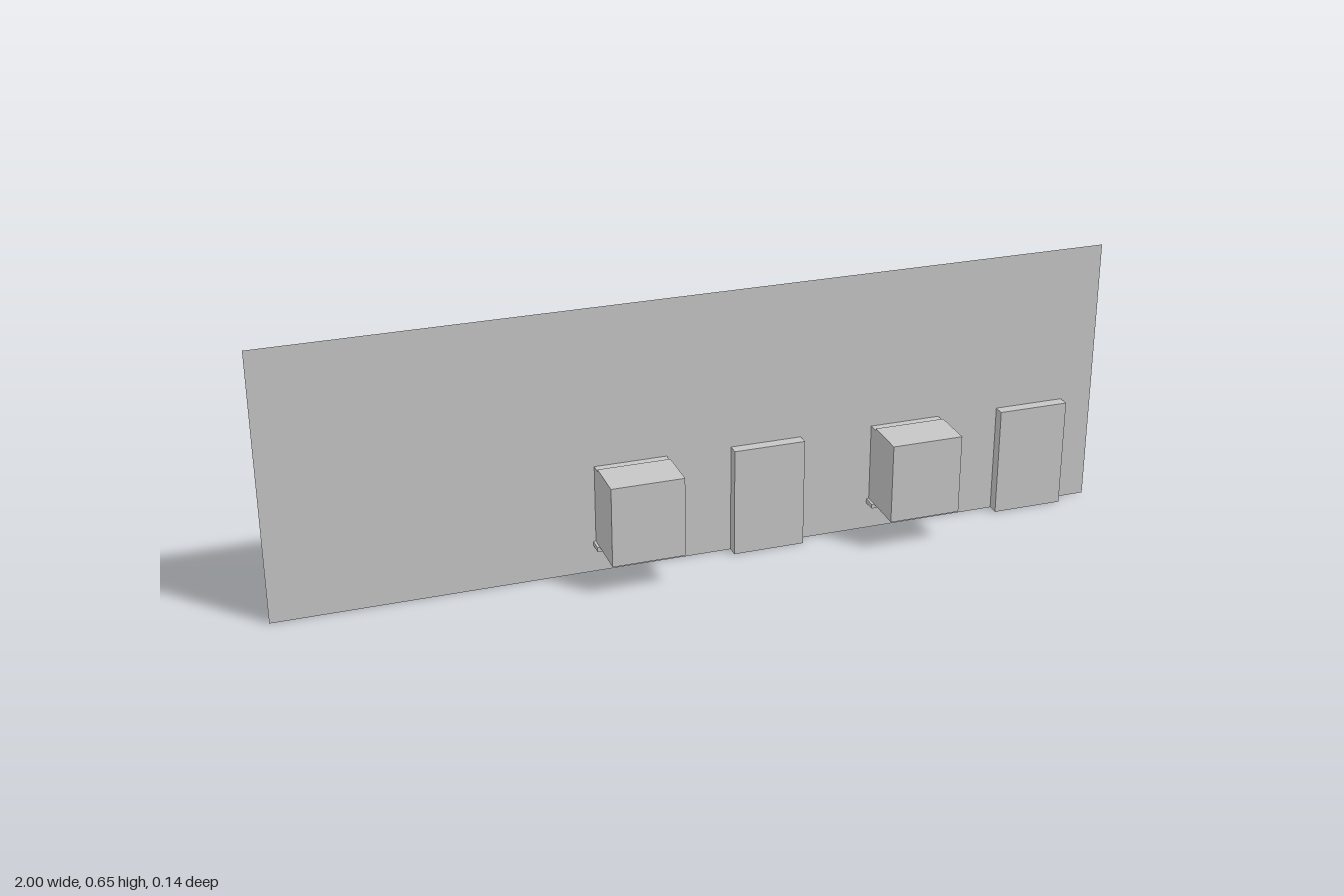
import * as THREE from 'three';

const WALL_Z = -0.063, INNER_Z = -0.036, HALF = 0.086;
const DOORS = [0.163, 0.836], WINDOWS = [-0.164, 0.512];
const DOOR_TOP = 0.265, WIN_LOW = 0.077, WIN_TOP = 0.271;

const grey = new THREE.MeshStandardMaterial({ color: 0xc6c6c6, side: THREE.DoubleSide });
grey.name = 'light grey';

function add(parent, name, geometry) {
  const mesh = new THREE.Mesh(geometry, grey);
  mesh.name = name;
  parent.add(mesh);
  return mesh;
}

// Box given by its lower and upper corners
function block(parent, name, x0, x1, y0, y1, z0, z1) {
  const mesh = add(parent, name, new THREE.BoxGeometry(x1 - x0, y1 - y0, z1 - z0));
  mesh.position.set((x0 + x1) / 2, (y0 + y1) / 2, (z0 + z1) / 2);
  return mesh;
}

// Thin lining on the sides and top of an opening
function lining(parent, y0, y1) {
  const t = 0.001;
  for (const s of [-1, 1]) {
    const x = s * (HALF - t / 2);
    block(parent, 'sideReveal', x - t / 2, x + t / 2, y0, y1, WALL_Z, INNER_Z);
  }
  block(parent, 'topReveal', -HALF, HALF, y1 - t, y1, WALL_Z, INNER_Z);
}

// Rectangular frame of four bars
function frame(parent, name, x0, x1, y0, y1, bar, z0, z1) {
  block(parent, name, x0, x0 + bar, y0, y1, z0, z1);
  block(parent, name, x1 - bar, x1, y0, y1, z0, z1);
  block(parent, name, x0 + bar, x1 - bar, y1 - bar, y1, z0, z1);
  block(parent, name, x0 + bar, x1 - bar, y0, y0 + bar, z0, z1);
}

function makeDoor(x) {
  const g = new THREE.Group();
  g.name = 'door';
  g.position.x = x;
  lining(g, 0, DOOR_TOP);
  block(g, 'threshold', -HALF, HALF, 0, 0.003, WALL_Z, INNER_Z);
  block(g, 'doorBacking', -HALF, HALF, 0, DOOR_TOP - 0.003, INNER_Z - 0.002, INNER_Z);
  // Frame around the leaves
  for (const s of [-1, 1]) {
    const x0 = s * (HALF - 0.005);
    block(g, 'doorJamb', x0 - 0.004, x0 + 0.004, 0.003, DOOR_TOP - 0.001, -0.044, INNER_Z);
  }
  block(g, 'doorHead', -0.077, 0.077, DOOR_TOP - 0.009, DOOR_TOP - 0.001, -0.044, INNER_Z);
  // Two leaves, each with a lever handle and hinges
  for (const s of [-1, 1]) {
    const c = s * 0.0387;
    block(g, 'doorLeaf', c - 0.0382, c + 0.0382, 0.004, 0.2555, -0.042, -0.038);
    const h = s * 0.009;
    block(g, 'handlePlate', h - 0.002, h + 0.002, 0.115, 0.135, -0.043, -0.042);
    block(g, 'handleLever', Math.min(h, s * 0.021), Math.max(h, s * 0.021), 0.127, 0.13, -0.048, -0.045);
    block(g, 'handleNeck', h - 0.0015, h + 0.0015, 0.127, 0.13, -0.046, -0.042);
    for (const y of [0.04, 0.13, 0.22]) {
      const hinge = add(g, 'hinge', new THREE.CylinderGeometry(0.0015, 0.0015, 0.01, 8));
      hinge.position.set(s * 0.0755, y, -0.043);
    }
  }
  return g;
}

function makeWindow(x) {
  const g = new THREE.Group();
  g.name = 'window';
  g.position.x = x;
  lining(g, WIN_LOW, WIN_TOP - 0.005);
  block(g, 'windowSill', -0.092, 0.092, 0.066, WIN_LOW, -0.07, -0.03);
  // Closed recess on the front side
  block(g, 'recessBox', -HALF, HALF, WIN_LOW, WIN_TOP, INNER_Z, 0.07);
  // Frame, crossbars and panes
  frame(g, 'windowFrame', -0.085, 0.085, WIN_LOW, 0.265, 0.007, -0.043, INNER_Z);
  const mid = (WIN_LOW + 0.265) / 2;
  block(g, 'mullion', -0.004, 0.004, WIN_LOW + 0.007, 0.258, -0.043, INNER_Z);
  for (const s of [-1, 1]) {
    const c = s * 0.041;
    block(g, 'crossbar', c - 0.037, c + 0.037, mid - 0.003, mid + 0.003, -0.042, INNER_Z);
  }
  block(g, 'pane', -0.08, 0.08, WIN_LOW + 0.004, 0.261, -0.039, -0.037);
  return g;
}

export function createModel() {
  const model = new THREE.Group();
  model.name = 'wallWithOpenings';

  // Flat wall with door notches and window holes
  const shape = new THREE.Shape();
  shape.moveTo(-1, 0);
  for (const x of DOORS) {
    shape.lineTo(x - HALF, 0);
    shape.lineTo(x - HALF, DOOR_TOP);
    shape.lineTo(x + HALF, DOOR_TOP);
    shape.lineTo(x + HALF, 0);
  }
  shape.lineTo(1, 0);
  shape.lineTo(1, 0.65);
  shape.lineTo(-1, 0.65);
  shape.closePath();
  for (const x of WINDOWS) {
    const hole = new THREE.Path();
    hole.moveTo(x - HALF, WIN_LOW);
    hole.lineTo(x - HALF, WIN_TOP - 0.005);
    hole.lineTo(x + HALF, WIN_TOP - 0.005);
    hole.lineTo(x + HALF, WIN_LOW);
    hole.closePath();
    shape.holes.push(hole);
  }
  add(model, 'wall', new THREE.ShapeGeometry(shape)).position.z = WALL_Z;

  for (const x of DOORS) model.add(makeDoor(x));
  for (const x of WINDOWS) model.add(makeWindow(x));
  return model;
}
